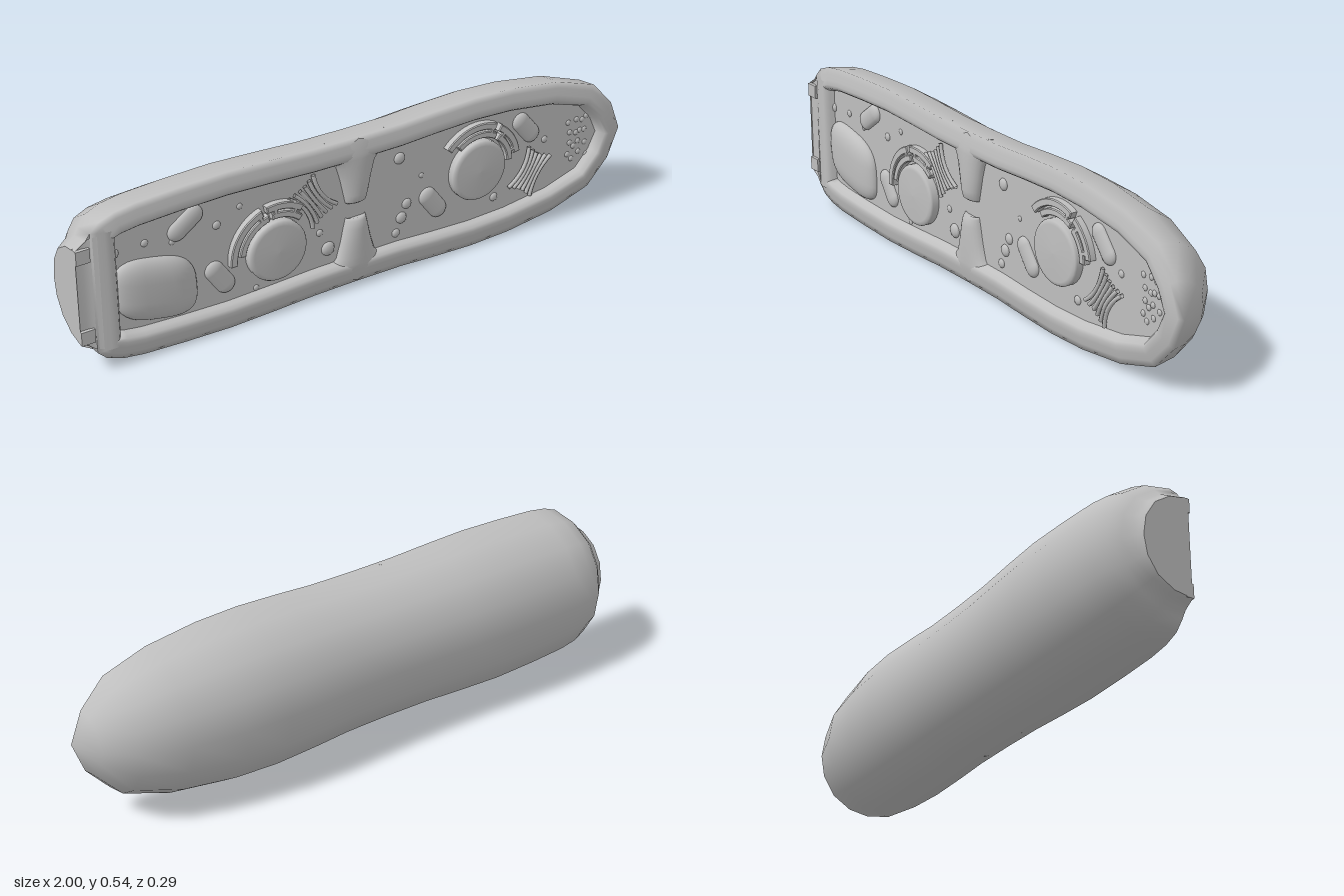
import * as THREE from 'three';
import { mergeGeometries, mergeVertices } from 'three/addons/utils/BufferGeometryUtils.js';

const CY = 0.27, ZC = 0.125, FLOOR = 0.106;
const grey = new THREE.MeshStandardMaterial({ color: 0xbfbfbf, side: THREE.DoubleSide });
grey.name = 'neutral grey';

// x station and radius of the half round body
const STATIONS = [
  [-1, 0.158], [-0.985, 0.168], [-0.965, 0.18], [-0.95, 0.2], [-0.92, 0.229], [-0.87, 0.247], [-0.8, 0.257],
  [-0.66, 0.264], [-0.5, 0.268], [-0.35, 0.263], [-0.2, 0.256], [-0.04, 0.254], [0.12, 0.255],
  [0.25, 0.262], [0.4, 0.267], [0.55, 0.261], [0.73, 0.237], [0.88, 0.188], [0.96, 0.102], [1, 0],
];

function addMesh(parent, name, geometry, x = 0, y = 0, z = 0) {
  const mesh = new THREE.Mesh(geometry, grey);
  mesh.name = name;
  mesh.position.set(x, y, z);
  parent.add(mesh);
  return mesh;
}

// Surface through rows of [x, y, z] points
function loft(rows, closed = false) {
  const n = rows[0].length, index = [];
  for (let i = 0; i < rows.length - 1; i++) {
    for (let j = 0; j < (closed ? n : n - 1); j++) {
      const k = (j + 1) % n, a = i * n + j, b = i * n + k, c = a + n, d = b + n;
      index.push(a, c, b, b, c, d);
    }
  }
  const g = new THREE.BufferGeometry();
  g.setAttribute('position', new THREE.Float32BufferAttribute(rows.flat(2), 3));
  g.setIndex(index);
  g.computeVertexNormals();
  return g;
}

// Half section of the body, slightly fuller on the diagonals
function halfRing(x, radius) {
  return Array.from({ length: 9 }, (_, j) => {
    const a = (j / 8) * Math.PI, r = radius * (1 + 0.025 * Math.sin(2 * a) ** 2);
    return [x, CY + r * Math.cos(a), ZC - r * Math.sin(a)];
  });
}

// Outline of the cut face, moved inward by d; its crest rises a little at the tip
function outline(d, z) {
  const up = STATIONS.filter(([x]) => x >= -0.95);
  const pts = [...up, ...up.slice(0, -1).reverse().map(([x, r]) => [x, -r])];
  return pts.map(([x, y], i) => {
    const p = pts[(i + pts.length - 1) % pts.length], q = pts[(i + 1) % pts.length];
    const dx = q[0] - p[0], dy = q[1] - p[1], l = Math.hypot(dx, dy);
    const rise = Math.max(0, z - ZC) * 0.6 * THREE.MathUtils.smoothstep(x, 0.7, 0.95);
    return [x + (dy / l) * d, CY + y - (dx / l) * d, z + rise];
  });
}

// Curved flat band around a nucleus, angles in degrees
function band(r0, r1, from, to) {
  const a = THREE.MathUtils.degToRad(from), b = THREE.MathUtils.degToRad(to);
  const s = new THREE.Shape();
  s.absarc(0, 0, r1, a, b, false);
  s.absarc(0, 0, r0, b, a, true);
  return new THREE.ExtrudeGeometry(s, {
    depth: 0.02, bevelSize: 0.003, bevelThickness: 0.003, bevelSegments: 1, curveSegments: 14,
  });
}

function addNucleus(root, x, y, r, turn) {
  const g = new THREE.Group();
  g.name = 'nucleusWithReticulum';
  g.position.set(x, y, FLOOR);
  const profile = [[r, -0.01], [r, 0.022], [r - 0.004, 0.028], [r - 0.015, 0.031], [0, 0.034]];
  const body = new THREE.LatheGeometry(profile.map(([a, b]) => new THREE.Vector2(a, b)), 32);
  addMesh(g, 'nucleus', body.rotateX(Math.PI / 2));
  const folds = new THREE.Group();
  folds.name = 'reticulum';
  folds.rotation.z = turn;
  for (const [r0, r1, a, b] of [
    [0.012, 0.028, 48, 96], [0.012, 0.028, 104, 172],
    [0.04, 0.058, 55, 102], [0.04, 0.058, 110, 183],
    [0.022, 0.044, 60, 64], [0.022, 0.044, 90, 94], [0.022, 0.044, 112, 116],
  ]) addMesh(folds, 'reticulumFold', band(r + r0, r + r1, a, b));
  g.add(folds);
  root.add(g);
}

// Stack of thin membranes pinched in the middle
function addStack(root, x, y, turn) {
  const g = new THREE.Group();
  g.name = 'membraneStack';
  g.position.set(x, y, FLOOR + 0.012);
  g.rotation.z = turn;
  for (let i = -2.5; i <= 2.5; i++) {
    const h = 0.075 - 0.004 * (2.5 - Math.abs(i));
    const path = new THREE.QuadraticBezierCurve3(
      new THREE.Vector3(i * 0.021, -h, 0), new THREE.Vector3(i * 0.007, 0, 0.005), new THREE.Vector3(i * 0.021, h, 0));
    addMesh(g, 'membrane', new THREE.TubeGeometry(path, 10, 0.007, 6));
  }
  root.add(g);
}

export function createModel() {
  const root = new THREE.Group();
  root.name = 'cellSection';

  // Outer wall flowing smoothly into the swollen rim
  const lip = [[0, ZC], [0.02, 0.13], [0.042, 0.135], [0.058, 0.137], [0.07, 0.134], [0.079, 0.122], [0.085, 0.104]];
  const wall = mergeGeometries([
    loft(STATIONS.map(([x, r]) => halfRing(x, r))),
    loft(lip.map(([d, z]) => outline(d, z)), true),
  ]);
  wall.deleteAttribute('normal');
  const smoothWall = mergeVertices(wall, 1e-4);
  smoothWall.computeVertexNormals();
  addMesh(root, 'wallAndRim', smoothWall);
  addMesh(root, 'endWall', loft([halfRing(-1, 0), halfRing(-1, 0.158)]));
  const floor = new THREE.Shape(outline(0.08, 0).map(([x, y]) => new THREE.Vector2(x, y)));
  addMesh(root, 'cytoplasm', new THREE.ShapeGeometry(floor), 0, 0, FLOOR);

  // Neck face, sloping gently up to the rim
  const neck = [[-1, 0.155, 0.12], [-0.975, 0.168, 0.119], [-0.955, 0.185, 0.122], [-0.93, 0.19, 0.132]];
  addMesh(root, 'neckFace', loft(neck.map(([x, h, z]) => [[x, CY + h, z], [x, CY - h, z]]).reverse()));
  for (const s of [-1, 1]) {
    addMesh(root, 'neckTab', new THREE.BoxGeometry(0.045, 0.045, 0.025), -0.9775, CY + s * 0.135, 0.118);

    // Dividing wall: each half flares from the pore into the rim
    const rows = [[0.032, 0.034, 0], [0.026, 0.036, 0.02], [0.034, 0.038, 0.03], [0.06, 0.044, 0.035],
      [0.11, 0.055, 0.036], [0.16, 0.07, 0.036], [0.185, 0.09, 0.035], [0.2, 0.11, 0.034],
      [0.232, 0.11, 0.028], [0.253, 0.11, 0.021]];
    const half = rows.map(([y, w, h]) => Array.from({ length: 13 }, (_, j) => {
      const a = (j / 12) * Math.PI;
      return [-0.04 - s * w * Math.cos(a), CY + s * y, FLOOR - 0.002 + h * Math.sin(a)];
    }));
    addMesh(root, 'septum', loft(half.reverse()));
  }

  addNucleus(root, -0.333, 0.22, 0.102, 0);
  addNucleus(root, 0.42, 0.275, 0.104, -0.78);
  addStack(root, -0.2, 0.345, 0.6);
  addStack(root, 0.635, 0.205, -0.55);

  // Squarish swollen vacuole, leaning to one side
  const vacuole = new THREE.SphereGeometry(1, 32, 20);
  const p = vacuole.attributes.position;
  const square = (v) => Math.sign(v) * Math.abs(v) ** 0.65;
  for (let i = 0; i < p.count; i++) {
    const x = square(p.getX(i)), y = square(p.getY(i));
    p.setXYZ(i, x * 0.138 - y * 0.012, y * 0.106 - x * 0.018, p.getZ(i) * 0.039);
  }
  vacuole.computeVertexNormals();
  addMesh(root, 'vacuole', vacuole, -0.742, 0.215, FLOOR).rotation.z = -0.06;

  // Mitochondria
  for (const [x, y, turn] of [[-0.635, 0.4, -0.95], [-0.525, 0.18, 0.6], [0.255, 0.2, 0.65], [0.62, 0.365, 0.7]]) {
    const m = addMesh(root, 'mitochondrion', new THREE.CapsuleGeometry(0.032, 0.068, 6, 14), x, y, FLOOR);
    m.rotation.z = turn;
    m.scale.z = 0.5;
  }

  // Loose flattened vesicles
  for (const [x, y, r] of [
    [-0.87, 0.37, 0.016], [-0.77, 0.375, 0.012], [-0.68, 0.35, 0.01], [-0.53, 0.36, 0.014], [-0.45, 0.4, 0.01],
    [-0.14, 0.155, 0.024], [-0.17, 0.22, 0.012], [0.125, 0.395, 0.02], [0.135, 0.18, 0.02], [0.155, 0.225, 0.018],
    [0.115, 0.13, 0.015], [0.21, 0.31, 0.009], [0.5, 0.145, 0.015], [0.7, 0.3, 0.012], [-0.4, 0.1, 0.01],
  ]) addMesh(root, 'vesicle', new THREE.SphereGeometry(r, 10, 8), x, y, FLOOR).scale.z = 0.5;

  // Crowd of small vesicles behind the growing tip
  for (let i = 0; i < 16; i++) {
    const x = 0.8 + 0.025 * (i % 4) + 0.008 * Math.sin(i * 5), y = 0.205 + 0.043 * Math.floor(i / 4) + 0.01 * Math.cos(i * 3);
    addMesh(root, 'tipVesicle', new THREE.SphereGeometry(0.01, 8, 6), x, y, FLOOR).scale.z = 0.5;
  }
  return root;
}
